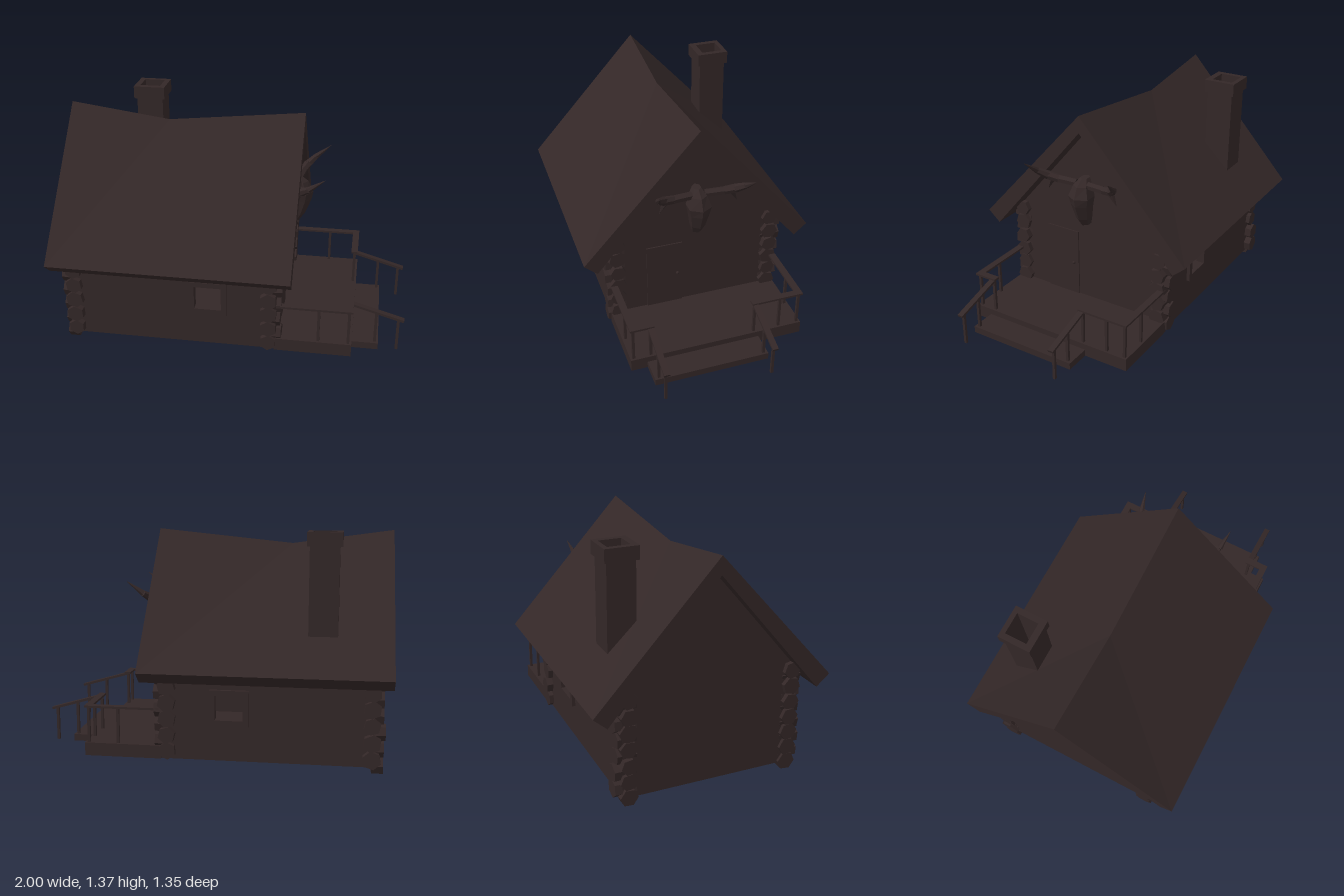
import * as THREE from 'three';

export function createModel() {
  const cabin = new THREE.Group();
  cabin.name = 'logCabin';
  const wood = new THREE.MeshStandardMaterial({ color: 0x332727, flatShading: true });
  wood.name = 'darkWood';

  const add = (name, geo) => {
    const mesh = new THREE.Mesh(geo, wood);
    mesh.name = name;
    cabin.add(mesh);
    return mesh;
  };
  // Box given by its limits on each axis
  const box = (name, x0, x1, y0, y1, z0, z1) =>
    add(name, new THREE.BoxGeometry(x1 - x0, y1 - y0, z1 - z0)
      .translate((x0 + x1) / 2, (y0 + y1) / 2, (z0 + z1) / 2));
  // Tapered bar between two points
  const bar = (name, a, b, r0, r1 = r0, sides = 4) => {
    const p = new THREE.Vector3(...a), d = new THREE.Vector3(...b).sub(p);
    const geo = new THREE.CylinderGeometry(r1, r0, d.length(), sides);
    if (sides === 4) geo.rotateY(Math.PI / 4);
    const mesh = add(name, geo);
    mesh.quaternion.setFromUnitVectors(new THREE.Vector3(0, 1, 0), d.clone().normalize());
    mesh.position.copy(p).addScaledVector(d, 0.5);
    return mesh;
  };
  const polygon = pts => new THREE.Shape(pts.map(p => new THREE.Vector2(...p)));
  const rect = (x0, x1, y0, y1) => [[x0, y0], [x1, y0], [x1, y1], [x0, y1]];
  const framed = (outer, inner, depth) => {
    const shape = polygon(outer);
    shape.holes.push(polygon(inner));
    return new THREE.ExtrudeGeometry(shape, { depth, bevelEnabled: false });
  };

  // Walls, floor and window frames
  const back = -0.94, front = 0.28, half = 0.5;
  const opening = rect(-0.19, -0.035, 0.335, 0.475);
  for (const s of [1, -1]) {
    add('sideWall', framed(rect(back, front, 0.1, 0.67), opening, 0.03))
      .position.z = s > 0 ? half - 0.03 : -half;
    add('windowFrame', framed(rect(-0.225, -0.005, 0.3, 0.505), opening, 0.05))
      .position.z = s > 0 ? half - 0.03 : -half - 0.02;
  }
  const gable = polygon([[-half, 0.1], [half, 0.1], [half, 0.67], [0, 1.25], [-half, 0.67]]);
  for (const x of [back, front - 0.03]) {
    const geo = new THREE.ExtrudeGeometry(gable, { depth: 0.03, bevelEnabled: false });
    add('gableWall', geo.rotateY(Math.PI / 2)).position.x = x;
  }
  box('floor', back, front, 0.1, 0.12, -half, half);

  // Post and plate under the floor
  box('underPlate', -0.59, -0.34, 0.096, 0.105, 0.045, 0.065);
  box('underPost', -0.475, -0.455, 0, 0.1, 0.045, 0.065);

  // Sagging roof: one slope, then its mirror image
  const xs = [-1, -0.42, 0.37], ridge = [1.36, 1.28, 1.36], pos = [];
  const E = i => [xs[i], 0.62, 0.675], R = i => [xs[i], ridge[i], 0];
  const e = i => [xs[i], 0.555, 0.6], r = i => [xs[i], ridge[i] - 0.1, 0];
  const quad = (a, b, c, d) => pos.push(...a, ...b, ...c, ...a, ...c, ...d);
  quad(E(0), E(1), R(1), R(0));
  quad(E(2), R(2), R(1), E(1));
  quad(r(1), e(1), e(0), r(0));
  quad(r(1), r(2), e(2), e(1));
  quad(e(0), e(2), E(2), E(0));
  quad(E(2), e(2), r(2), R(2));
  quad(R(0), r(0), e(0), E(0));
  const slope = new THREE.BufferGeometry();
  slope.setAttribute('position', new THREE.Float32BufferAttribute(pos, 3));
  slope.computeVertexNormals();
  add('roofSlope', slope);
  add('roofSlope', slope).scale.z = -1;

  // Hollow chimney with cap
  const flue = rect(-0.682, -0.558, 0.342, 0.468);
  const stack = (name, outer, y, h) =>
    add(name, framed(outer, flue, h).rotateX(-Math.PI / 2)).position.y = y;
  stack('chimneyShaft', rect(-0.7, -0.54, 0.32, 0.48), 0.8, 0.5);
  stack('chimneyCap', rect(-0.715, -0.525, 0.305, 0.495), 1.295, 0.075);

  // Rough hexagonal log ends, crossing at each corner
  let seed = 7;
  const rand = () => (seed = (seed * 16807) % 2147483647) / 2147483647;
  const log = (from, to) => {
    const mesh = bar('logEnd', from, to, 0.052, 0.046 + rand() * 0.007, 6);
    mesh.rotateY((rand() - 0.5) * 0.5);
  };
  for (const s of [1, -1]) {
    for (const [x, end, dir, first] of [[-0.895, -0.955, -1, 0], [0.235, 0.3, 1, 1]]) {
      for (let i = first; i < 7; i++) {
        const y = 0.108 + i * 0.092, z = s * 0.468;
        log([x, y, z], [end + dir * rand() * 0.014, y, z]);
      }
      for (let i = 0; i < 6; i++) {
        const y = 0.15 + i * 0.092;
        log([x, y, s * 0.42], [x, y, s * (0.525 + rand() * 0.018)]);
      }
    }
  }

  // Door with knob
  box('door', front, front + 0.008, 0.175, 0.595, 0.075, 0.29);
  add('doorKnob', new THREE.SphereGeometry(0.01, 8, 6)).position.set(0.295, 0.385, 0.105);

  // Porch and step
  box('porchDeck', 0.27, 0.71, 0.1, 0.175, -0.515, 0.515);
  box('porchStep', 0.71, 0.86, 0.1, 0.14, -0.25, 0.42);

  // Railings: side runs, front returns and sloping handrails
  for (const [side, inner] of [[0.495, 0.395], [-0.495, -0.225]]) {
    box('sideRail', 0.28, 0.71, 0.378, 0.39, side - 0.02, side + 0.02);
    box('frontRail', 0.67, 0.71, 0.378, 0.39,
      Math.min(side, inner) - 0.02, Math.max(side, inner) + 0.02);
    const posts = [[0.52, side], [0.69, side], [0.69, inner]];
    if (inner < 0) posts.push([0.69, -0.38]);
    for (const [x, z] of posts) bar('railPost', [x, 0.17, z], [x, 0.38, z], 0.011);
    const hand = bar('handrail', [0.69, 0.38, inner], [0.995, 0.292, inner], 0.01);
    hand.scale.z = 2.4;
    bar('stepPost', [0.84, 0.13, inner], [0.84, 0.335, inner], 0.011);
    bar('stepPost', [0.965, 0.1, inner], [0.965, 0.3, inner], 0.011);
  }

  // Horned skull: [height, half width, front x] from crown to muzzle
  const rows = [[0.98, 0.025, 0.35], [0.945, 0.05, 0.40], [0.88, 0.075, 0.43],
    [0.83, 0.062, 0.42], [0.74, 0.045, 0.385], [0.69, 0.03, 0.35]];
  const skull = new THREE.CylinderGeometry(1, 1, 1, 6, rows.length - 1);
  skull.rotateY(Math.PI / 6);
  const p = skull.attributes.position;
  for (let i = 0; i < p.count; i++) {
    const [y, w, x] = rows[Math.round((0.5 - p.getY(i)) * (rows.length - 1))];
    p.setXYZ(i, 0.28 + (x - 0.28) * (p.getX(i) + 1) / 2, y, p.getZ(i) * w);
  }
  skull.computeVertexNormals();
  add('skull', skull);
  const horn = [[0.34, 0.945, 0.04, 0.024], [0.355, 0.95, 0.15, 0.024],
    [0.375, 0.965, 0.21, 0.026], [0.42, 1.0, 0.255, 0.018], [0.51, 1.07, 0.275, 0.001]];
  for (const s of [1, -1]) {
    for (let i = 0; i < horn.length - 1; i++) {
      const [a, b] = [horn[i], horn[i + 1]];
      bar('horn', [a[0], a[1], s * a[2]], [b[0], b[1], s * b[2]], a[3], b[3], 6);
    }
    bar('ear', [0.355, 0.955, s * 0.19], [0.35, 0.87, s * 0.23], 0.024, 0.001, 5);
  }

  return cabin;
}
